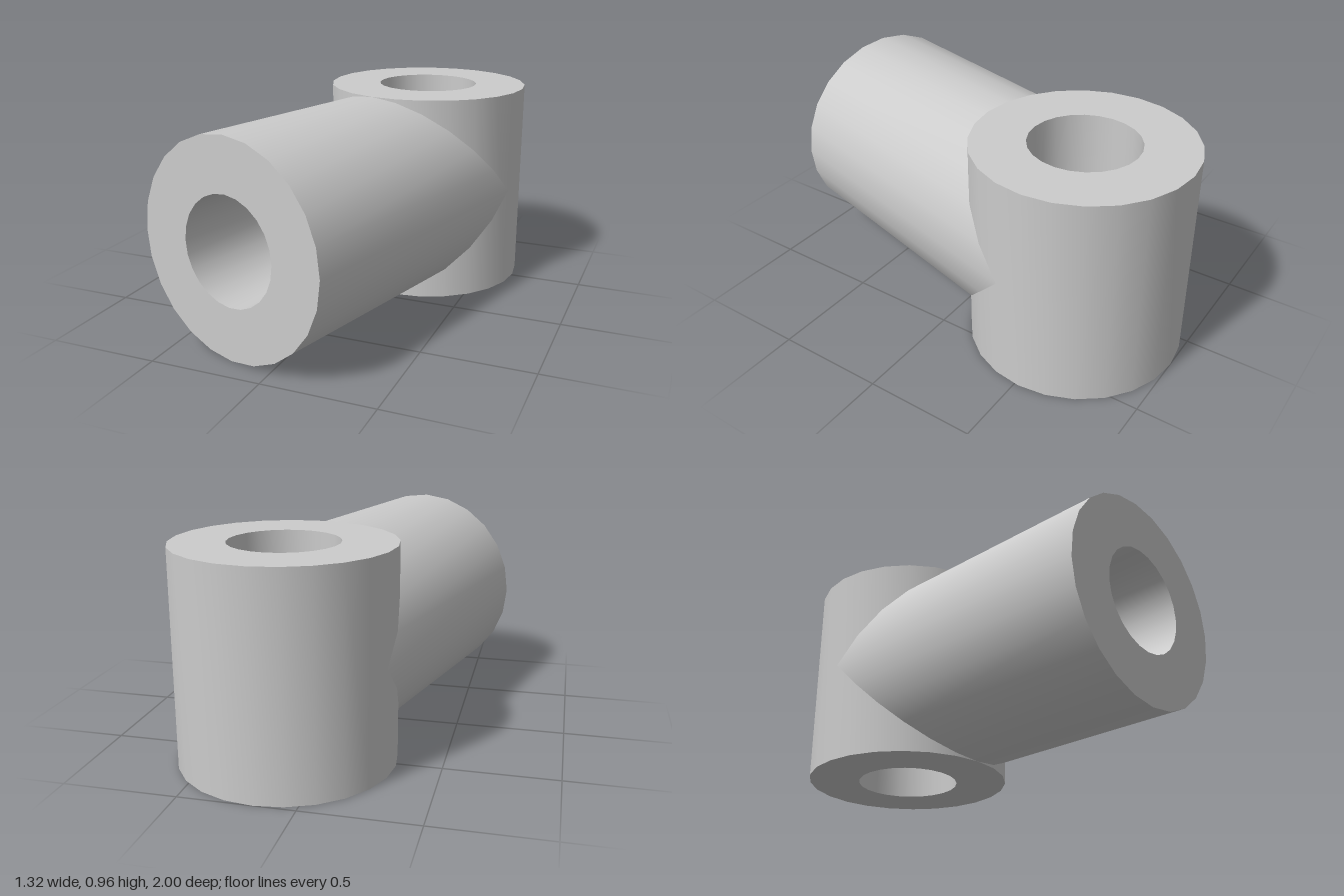
import * as THREE from 'three';
import { toCreasedNormals } from 'three/addons/utils/BufferGeometryUtils.js';

const R = 0.4812;        // outer radius of both tubes
const BORE = R / 2;      // radius of both bores
const SIDES = 24;

// Turned part from [radius, height] pairs
function turned(profile) {
  return new THREE.LatheGeometry(profile.map(([r, y]) => new THREE.Vector2(r, y)), SIDES);
}

function addPart(group, name, geometry) {
  const material = new THREE.MeshStandardMaterial({ color: 0xcccccc });
  const mesh = new THREE.Mesh(toCreasedNormals(geometry, 0.6), material);
  mesh.name = name;
  group.add(mesh);
  return mesh;
}

export function createModel() {
  const group = new THREE.Group();
  group.name = 'angledTubeConnector';

  // Upright sleeve with a bore right through it
  const sleeve = addPart(group, 'uprightSleeve', turned([
    [BORE, 0], [R, 0], [R, 2 * R], [BORE, 2 * R], [BORE, 0],
  ]));
  sleeve.position.set(0.179, 0, -0.519);

  // Side arm with a blind bore that stops just short of the sleeve
  const floor = R + 0.004;
  const armGeometry = turned([
    [R, 0], [R, 3 * R], [BORE, 3 * R], [BORE, floor], [0, floor],
  ]);
  armGeometry.rotateX(Math.PI / 2);

  // Trim the inner end of the arm to the curve of the sleeve
  const p = armGeometry.attributes.position;
  for (let i = 0; i < p.count; i++) {
    if (Math.abs(p.getZ(i)) < R / 2) {
      p.setZ(i, Math.sqrt(Math.max(0, R * R - p.getX(i) ** 2)));
    }
  }
  const arm = addPart(group, 'sideArm', armGeometry);
  arm.position.set(0.179, R, -0.519);
  arm.rotation.y = -Math.PI / 12;

  return group;
}
